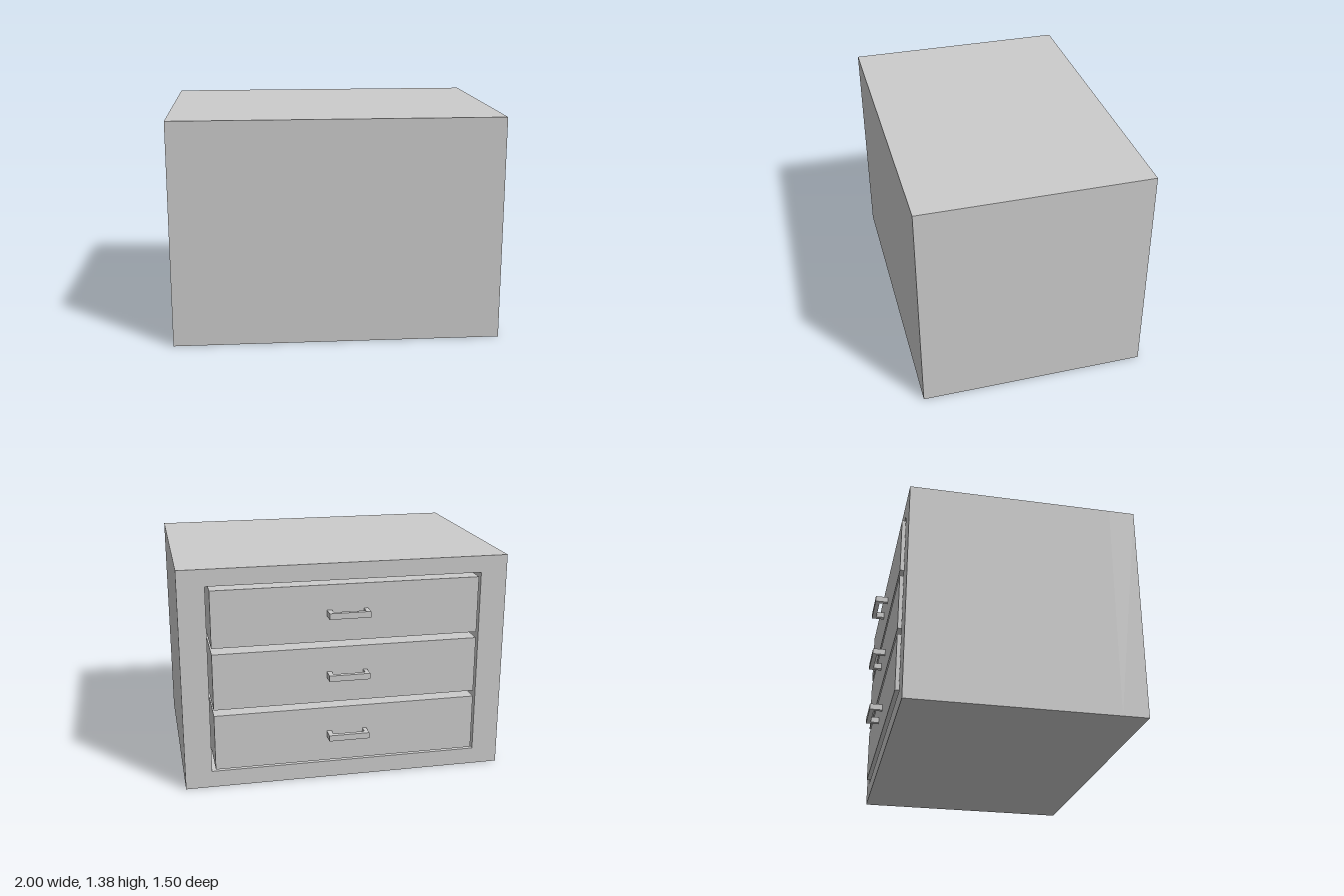
import * as THREE from 'three';

const material = new THREE.MeshStandardMaterial({ color: 0xcccccc, flatShading: true });

// Box given by its min and max corners
function box(name, [x0, y0, z0], [x1, y1, z1]) {
  const geometry = new THREE.BoxGeometry(x1 - x0, y1 - y0, z1 - z0);
  geometry.translate((x0 + x1) / 2, (y0 + y1) / 2, (z0 + z1) / 2);
  const mesh = new THREE.Mesh(geometry, material);
  mesh.name = name;
  return mesh;
}

function rectangle(target, x0, y0, x1, y1) {
  target.moveTo(x0, y0);
  target.lineTo(x1, y0);
  target.lineTo(x1, y1);
  target.lineTo(x0, y1);
  target.closePath();
  return target;
}

// Cabinet body: a block with a deep pocket opening towards -z
function cabinet() {
  const group = new THREE.Group();
  group.name = 'cabinet';
  const outline = rectangle(new THREE.Shape(), -1, 0, 1, 1.375);
  outline.holes.push(rectangle(new THREE.Path(), -0.837, 0.105, 0.837, 1.272));
  const geometry = new THREE.ExtrudeGeometry(outline, { depth: 1.245, bevelEnabled: false });
  const shell = new THREE.Mesh(geometry, material);
  shell.name = 'cabinetShell';
  shell.position.z = -0.655;
  group.add(shell, box('closedPanel', [-1, 0, 0.59], [1, 1.375, 0.75]));
  return group;
}

// U-shaped pull, drawn in plan and extruded upwards
function handle(y) {
  const plan = new THREE.Shape([
    [-0.125, 0.675], [-0.125, 0.755], [0.125, 0.755], [0.125, 0.675],
    [0.095, 0.675], [0.095, 0.727], [-0.1, 0.727], [-0.1, 0.675],
  ].map(([x, d]) => new THREE.Vector2(x, d)));
  const geometry = new THREE.ExtrudeGeometry(plan, { depth: 0.037, bevelEnabled: false });
  geometry.rotateX(-Math.PI / 2);
  const mesh = new THREE.Mesh(geometry, material);
  mesh.name = 'handle';
  mesh.position.y = y - 0.0185;
  return mesh;
}

export function createModel() {
  const model = new THREE.Group();
  model.name = 'drawerCabinet';
  model.add(cabinet());

  // Three equal drawers standing slightly proud of the cabinet
  for (let i = 0; i < 3; i++) {
    const y = 0.125 + i * 0.388;
    const drawer = new THREE.Group();
    drawer.name = `drawer${i + 1}`;
    drawer.add(
      box('drawerBox', [-0.815, y, -0.675], [0.815, y + 0.35, 0.57]),
      handle(y + 0.177),
    );
    model.add(drawer);
  }
  return model;
}
